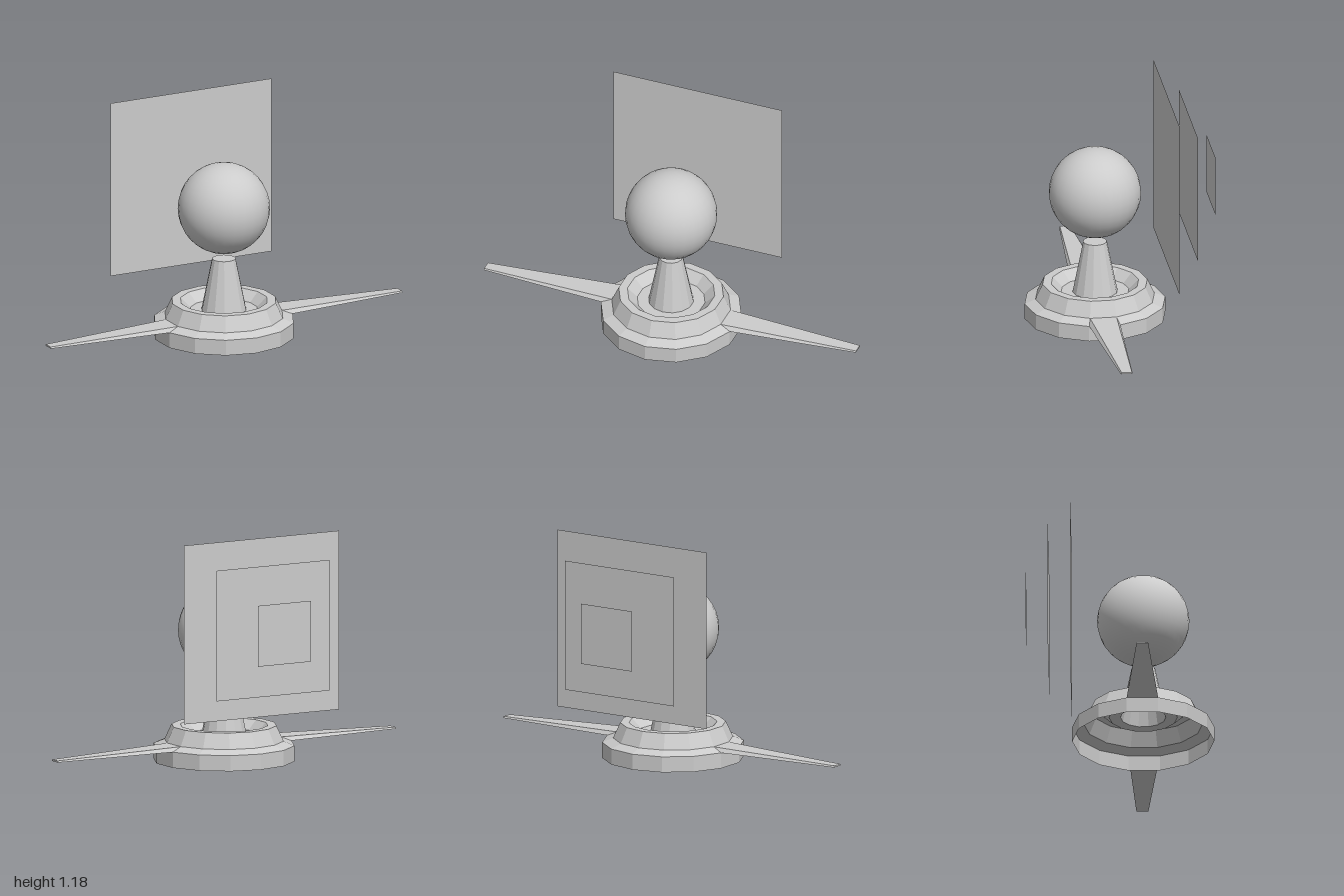
import * as THREE from 'three';

const AXIS_X = -0.003, AXIS_Z = 0.117, SIDES = 14;

function material(flatShading) {
  return new THREE.MeshStandardMaterial({ color: 0xcccccc, flatShading, side: THREE.DoubleSide });
}

function addPart(parent, name, geometry, mat, x, y, z) {
  const mesh = new THREE.Mesh(geometry, mat);
  mesh.name = name;
  mesh.position.set(x, y, z);
  parent.add(mesh);
  return mesh;
}

// Tapered arm: lofts a trapezoid root on the collar to a small one at the tip
function armGeometry(side, tipZ) {
  const section = (xLow, xHigh, yLow, yHigh, z, halfLow, halfHigh) => [
    [xLow, yLow, z + halfLow], [xLow, yLow, z - halfLow],
    [xHigh, yHigh, z - halfHigh], [xHigh, yHigh, z + halfHigh],
  ].map(([x, y, dz]) => [x * side + (Math.abs(x) < 1 ? AXIS_X : 0), y, dz]);
  const points = [
    ...section(0.348, 0.295, 0.08, 0.102, AXIS_Z, 0.079, 0.067),
    ...section(1, 1, 0.078, 0.086, tipZ, 0.03, 0.026),
  ];
  const index = [];
  const quad = (a, b, c, d) => index.push(...(side > 0 ? [a, b, c, a, c, d] : [a, c, b, a, d, c]));
  for (let i = 0; i < 4; i++) {
    const j = (i + 1) % 4;
    quad(i, j, j + 4, i + 4);
  }
  quad(4, 5, 6, 7);
  const geometry = new THREE.BufferGeometry();
  geometry.setAttribute('position', new THREE.Float32BufferAttribute(points.flat(), 3));
  geometry.setIndex(index);
  const flat = geometry.toNonIndexed();
  flat.computeVertexNormals();
  return flat;
}

export function createModel() {
  const model = new THREE.Group();
  model.name = 'orbPedestal';
  const faceted = material(true);
  const smooth = material(false);

  // Hollow base: outer wall, collar, rim, sunken floor, tapered post with closed top
  const profile = [
    [0.357, 0], [0.357, 0.08], [0.302, 0.102], [0.266, 0.18], [0.222, 0.18],
    [0.172, 0.132], [0.114, 0.132], [0.06, 0.4], [0, 0.4],
  ].map(([r, y]) => new THREE.Vector2(r, y));
  addPart(model, 'basePedestal', new THREE.LatheGeometry(profile, SIDES), faceted, AXIS_X, 0, AXIS_Z);

  // Side arms
  addPart(model, 'leftArm', armGeometry(1, 0.1), faceted, 0, 0, 0);
  addPart(model, 'rightArm', armGeometry(-1, 0.125), faceted, 0, 0, 0);

  // Floating orb
  addPart(model, 'orb', new THREE.SphereGeometry(0.232, 28, 18), smooth, AXIS_X, 0.665, AXIS_Z);

  // Three shrinking square panels stacked behind the orb
  [0.91, 0.665, 0.31].forEach((size, i) => {
    const panel = addPart(model, `backPanel${i + 1}`, new THREE.PlaneGeometry(size, size), smooth,
      AXIS_X, 0.725, -0.246 - 0.113 * i);
    panel.rotation.y = Math.PI;
  });

  return model;
}
